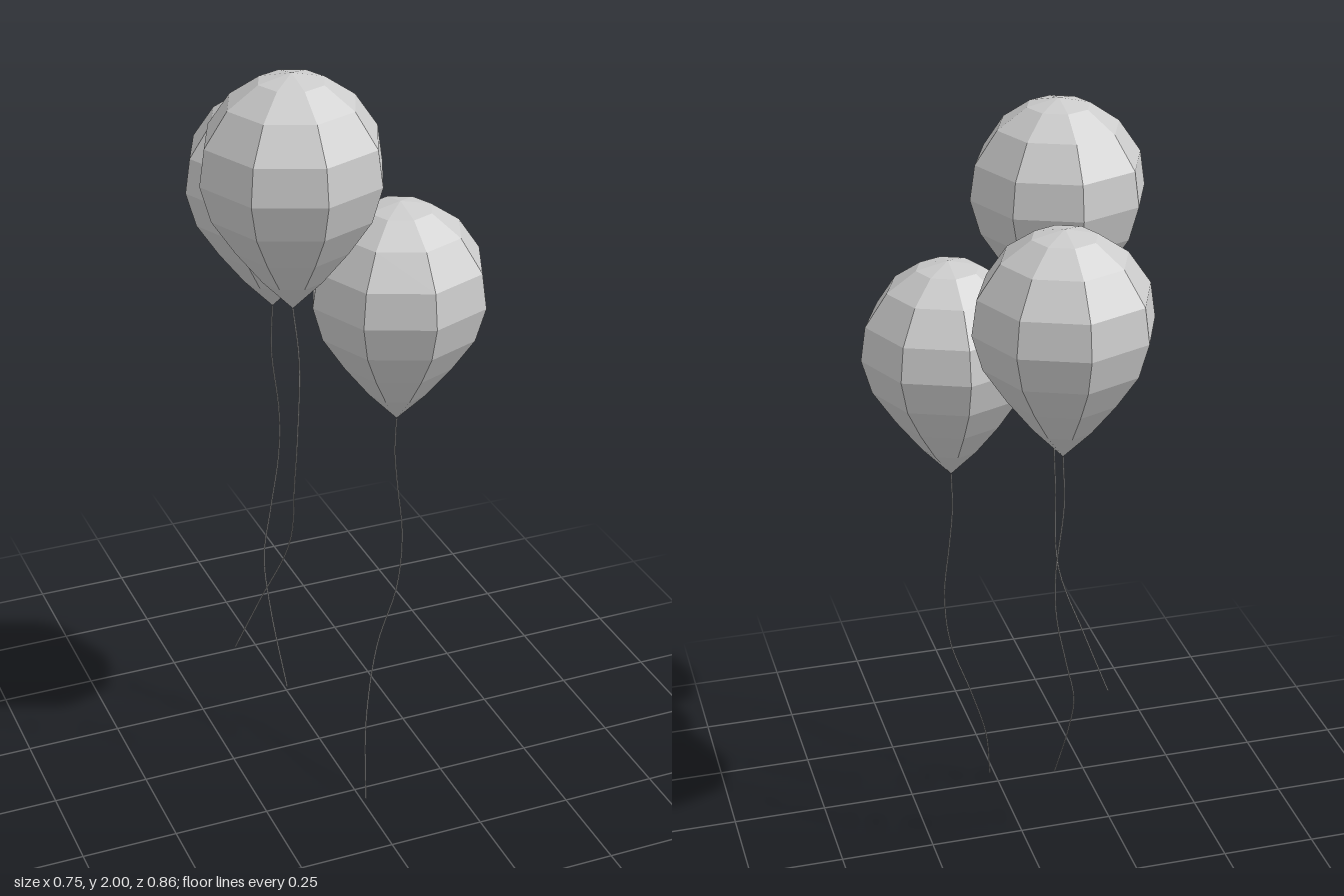
import * as THREE from 'three';

const material = new THREE.MeshStandardMaterial({ color: 0xcccccc, flatShading: true });

// Balloon outline from the pointed neck to the crown: [radius, height above the neck]
const PROFILE = [
  [0, 0], [0.076, 0.08], [0.142, 0.165], [0.2, 0.253], [0.226, 0.343],
  [0.213, 0.432], [0.156, 0.515], [0.081, 0.567], [0, 0.586],
].map(([r, y]) => new THREE.Vector2(r, y));

// Each balloon: neck position, and the string's path downwards from it
const BALLOONS = [
  {
    name: 'highBalloon', neck: [-0.149, 1.414, 0.201],
    path: [[-0.14, 1.28, 0.218], [-0.15, 1.07, 0.228], [-0.149, 0.94, 0.205],
      [-0.14, 0.73, 0.143], [-0.198, 0.54, 0.08], [-0.252, 0.385, 0.038]],
  },
  {
    name: 'middleBalloon', neck: [-0.048, 1.229, -0.203],
    path: [[-0.05, 1.1, -0.21], [-0.028, 0.91, -0.215], [-0.032, 0.79, -0.21],
      [-0.064, 0.64, -0.19], [-0.095, 0.51, -0.162], [-0.1, 0.375, -0.1], [-0.09, 0.187, -0.01]],
  },
  {
    name: 'lowBalloon', neck: [0.147, 1.038, 0.152],
    path: [[0.146, 0.94, 0.147], [0.157, 0.835, 0.143], [0.172, 0.69, 0.144],
      [0.157, 0.54, 0.15], [0.1, 0.37, 0.155], [0.042, 0.185, 0.223], [0.012, 0, 0.297]],
  },
];

function makeBalloon({ name, neck, path }) {
  const group = new THREE.Group();
  group.name = name;

  // Eight-sided faceted body
  const body = new THREE.Mesh(new THREE.LatheGeometry(PROFILE, 8), material);
  body.name = 'balloonBody';
  body.position.set(...neck);

  // Thin wavy string
  const curve = new THREE.CatmullRomCurve3([neck, ...path].map((p) => new THREE.Vector3(...p)));
  const string = new THREE.Mesh(new THREE.TubeGeometry(curve, 32, 0.002, 5), material);
  string.name = 'balloonString';

  group.add(body, string);
  return group;
}

export function createModel() {
  const model = new THREE.Group();
  model.name = 'balloonBunch';
  BALLOONS.forEach((b) => model.add(makeBalloon(b)));
  return model;
}
